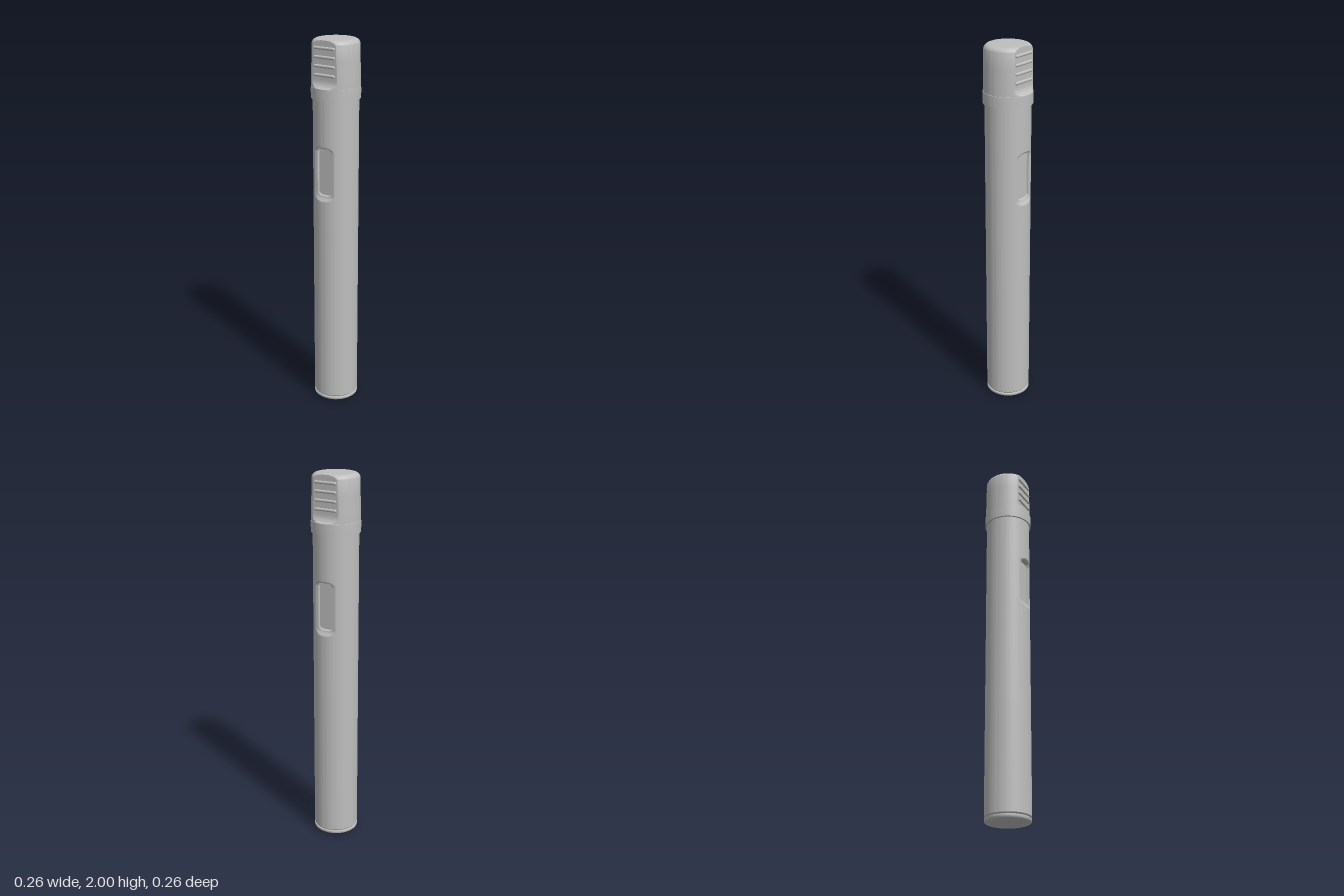
import * as THREE from 'three';
import { toCreasedNormals } from 'three/addons/utils/BufferGeometryUtils.js';

const SEGMENTS = 240;
const grey = new THREE.MeshStandardMaterial({ color: 0xbebebe });
grey.name = 'grey plastic';

// Revolve [radius, y] rows; zLimit(x, y) cuts matching recesses front and back
function revolve(name, rows, zLimit) {
  const position = [], index = [];
  rows.forEach(([r, y], i) => {
    for (let j = 0; j < SEGMENTS; j++) {
      const a = (j / SEGMENTS) * Math.PI * 2;
      const x = r * Math.sin(a), z = r * Math.cos(a);
      const limit = zLimit(Math.abs(x), y);
      position.push(x, y, Math.max(-limit, Math.min(limit, z)));
      if (i === rows.length - 1) continue;
      const k = (j + 1) % SEGMENTS, n = i * SEGMENTS;
      index.push(n + j, n + k, n + SEGMENTS + k);
      index.push(n + j, n + SEGMENTS + k, n + SEGMENTS + j);
    }
  });
  const geometry = new THREE.BufferGeometry();
  geometry.setAttribute('position', new THREE.Float32BufferAttribute(position, 3));
  geometry.setIndex(index);
  const mesh = new THREE.Mesh(toCreasedNormals(geometry, 0.6), grey);
  mesh.name = name;
  return mesh;
}

// Recessed viewing window with softly ramped ends and a rounded inner pane
function windowLimit(x, y) {
  const end = Math.min(y - 1.17, 1.46 - y);
  if (x > 0.058 || end < 0) return 1;
  const dx = Math.max(0, x - 0.026), dy = Math.max(0, Math.abs(y - 1.325) - 0.111);
  if (Math.hypot(dx, dy) < 0.014) return 0.092;
  return 0.103 + 0.016 * Math.max(0, 1 - end / 0.03) ** 2;
}

// Flat grip faces that curve out into the collar
function gripLimit(x, y) {
  if (y < 1.76) return 1;
  const t = Math.min(1, (y - 1.76) / 0.04);
  return 0.1 + 0.028 * (1 - Math.sqrt(1 - (1 - t) ** 2));
}

function createBody() {
  const rows = [[0, 0.03], [0.113, 0.03], [0.119, 0.036], [0.119, 0.6], [0.119, 1.15]];
  for (let i = 0; i <= 80; i++) rows.push([0.119, 1.16 + i * 0.004]);
  rows.push([0.119, 1.71]);
  return revolve('body', rows, windowLimit);
}

function createCap() {
  const rows = [[0.11, 1.7], [0.128, 1.7], [0.1285, 1.73], [0.128, 1.7599], [0.126, 1.7605]];
  for (let i = 1; i <= 12; i++) rows.push([0.126, 1.7605 + i * 0.0034]);
  rows.push([0.124, 1.9]);
  // Rounded top rim
  for (let i = 0; i <= 10; i++) {
    const a = (i / 10) * Math.PI / 2;
    rows.push([0.093 + 0.03 * Math.cos(a), 1.97 + 0.03 * Math.sin(a)]);
  }
  rows.push([0.05, 2], [0, 2]);
  return revolve('cap', rows, gripLimit);
}

// Four rounded ribs on each grip face
function createRibs() {
  const ribs = new THREE.Group();
  ribs.name = 'gripRibs';
  const geometry = new THREE.CapsuleGeometry(0.008, 0.114, 6, 14);
  geometry.rotateZ(Math.PI / 2);
  for (const side of [1, -1]) {
    for (let i = 0; i < 4; i++) {
      const rib = new THREE.Mesh(geometry, grey);
      rib.name = 'gripRib';
      rib.position.set(0, 1.825 + i * 0.045, side * 0.1);
      ribs.add(rib);
    }
  }
  return ribs;
}

// End plug, separated from the body by a narrow groove
function createPlug() {
  const profile = [
    [0, 0], [0.06, 0.001], [0.1, 0.005], [0.113, 0.009], [0.118, 0.013],
    [0.119, 0.017], [0.119, 0.024], [0.113, 0.026], [0.113, 0.034],
  ].map(([r, y]) => new THREE.Vector2(r, y));
  const plug = new THREE.Mesh(toCreasedNormals(new THREE.LatheGeometry(profile, 96), 0.7), grey);
  plug.name = 'endPlug';
  return plug;
}

export function createModel() {
  const model = new THREE.Group();
  model.name = 'penDevice';
  model.add(createBody(), createCap(), createRibs(), createPlug());
  return model;
}
